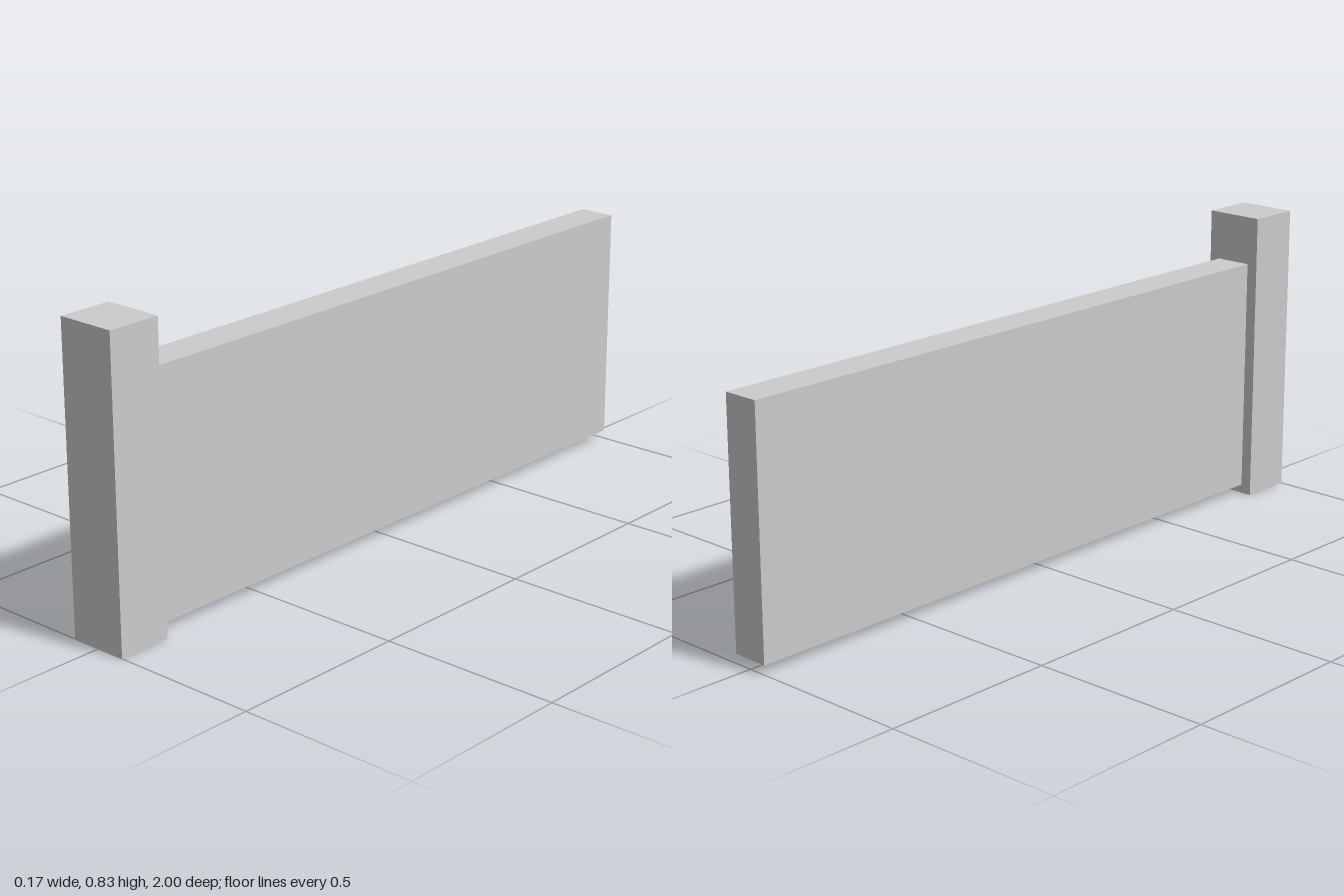
import * as THREE from 'three';

const material = new THREE.MeshStandardMaterial({ color: 0xcccccc, flatShading: true });

// Box given by its width (centred on x) and its y and z ranges
function block(name, width, y0, y1, z0, z1) {
  const mesh = new THREE.Mesh(new THREE.BoxGeometry(width, y1 - y0, z1 - z0), material);
  mesh.name = name;
  mesh.position.set(0, (y0 + y1) / 2, (z0 + z1) / 2);
  return mesh;
}

export function createModel() {
  const group = new THREE.Group();
  group.name = 'wallSection';
  // Tall end post at the front
  group.add(block('post', 0.168, 0, 0.83, 0.848, 1));
  // Thinner wall panel running back from the post, raised slightly off the ground
  group.add(block('panel', 0.104, 0.025, 0.693, -1, 0.848));
  return group;
}
